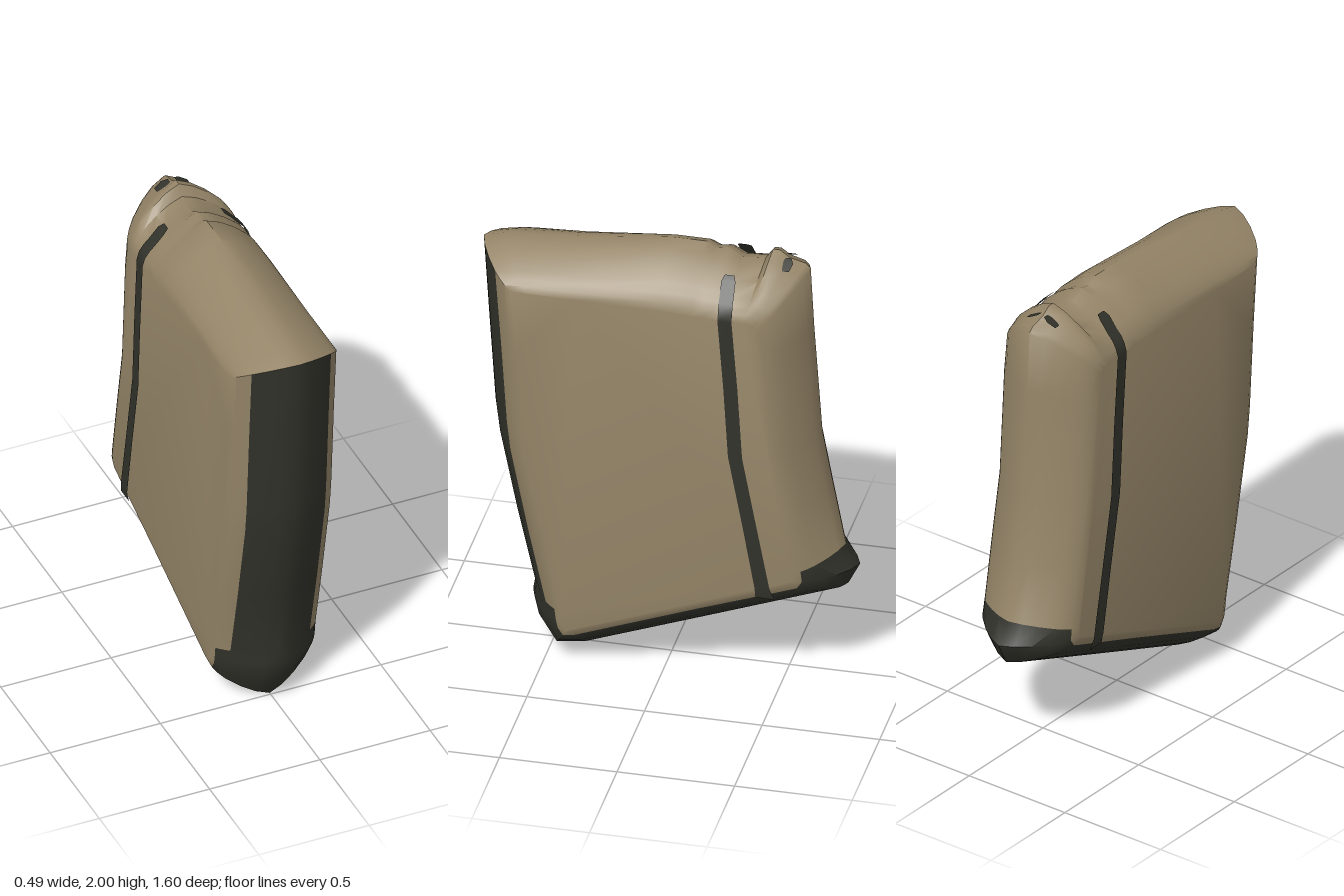
import * as THREE from 'three';
import { toCreasedNormals } from 'three/addons/utils/BufferGeometryUtils.js';

// Side profile, counter-clockwise seen from +x: outer z, outer y, inner z, inner y,
// and the trim of the edge that starts here (f = front strip, b = base, '' = body)
const PROFILE = [
  [0.80, 1.90, 0.63, 1.79, 'f'],
  [0.775, 1.50, 0.605, 1.50, 'f'],
  [0.75, 1.12, 0.58, 1.12, 'f'],
  [0.735, 1.00, 0.565, 0.98, 'f'],
  [0.66, 0.63, 0.49, 0.60, 'f'],
  [0.58, 0.28, 0.42, 0.27, 'b'],
  [0.59, 0.22, 0.41, 0.22, 'b'],
  [0.57, 0.13, 0.405, 0.195, 'b'],
  [0.49, 0.00, 0.395, 0.18, 'b'],
  [0.33, 0.02, 0.37, 0.185, 'b'],
  [-0.20, 0.22, -0.14, 0.38, 'b'],
  [-0.75, 0.43, -0.55, 0.53, 'b'],
  [-0.80, 0.53, -0.565, 0.55, 'b'],
  [-0.74, 0.62, -0.57, 0.59, ''],
  [-0.69, 0.88, -0.52, 0.88, ''],
  [-0.64, 1.15, -0.47, 1.15, ''],
  [-0.605, 1.65, -0.44, 1.62, ''],
  [-0.59, 1.93, -0.42, 1.74, ''],
  [-0.57, 1.95, -0.41, 1.755, ''],
  [-0.50, 1.97, -0.40, 1.765, ''],
  [-0.46, 2.00, -0.39, 1.77, ''],
  [-0.43, 2.00, -0.38, 1.77, ''],
  [-0.40, 1.955, -0.36, 1.77, ''],
  [-0.30, 1.945, -0.28, 1.77, ''],
  [-0.24, 1.985, -0.23, 1.775, ''],
  [-0.19, 1.975, -0.18, 1.775, ''],
  [-0.15, 2.00, -0.14, 1.78, ''],
  [0.00, 2.00, 0.00, 1.785, ''],
  [0.40, 1.95, 0.36, 1.785, ''],
  [0.70, 1.925, 0.56, 1.79, ''],
];

// Rounded cross-section: share of the inset, half width
const RINGS = [
  [0, 0], [0.11, 0.06], [0.29, 0.12], [0.53, 0.18],
  [0.68, 0.207], [0.83, 0.227], [1, 0.24],
];
const TRIM_RINGS = { f: 3, b: 5, '': 0 };

const lerp = THREE.MathUtils.lerp;

function bodyGeometry() {
  const sand = [], dark = [];
  const n = PROFILE.length;
  const at = (i, r) => {
    const [z, y, iz, iy] = PROFILE[i % n];
    const [t, w] = RINGS[r];
    return [w, lerp(y, iy, t), lerp(z, iz, t)];
  };
  // Adds a triangle and its mirror image
  const tri = (out, a, b, c) => {
    out.push(...a, ...b, ...c);
    for (const [x, y, z] of [a, c, b]) out.push(-x, y, z);
  };
  // Rounded rim
  for (let i = 0; i < n; i++) {
    for (let r = 0; r < RINGS.length - 1; r++) {
      const out = r < TRIM_RINGS[PROFILE[i][4]] ? dark : sand;
      const a = at(i, r), b = at(i + 1, r), c = at(i + 1, r + 1), d = at(i, r + 1);
      if (r > 0) tri(out, a, b, c);
      if (r > 0) tri(out, a, c, d);
      else tri(out, a, c, d), tri(out, a, b, c);
    }
  }
  // Flat sides
  const last = RINGS.length - 1;
  const contour = PROFILE.map((p) => new THREE.Vector2(-p[2], p[3]));
  for (const [a, b, c] of THREE.ShapeUtils.triangulateShape(contour, [])) {
    tri(sand, at(a, last), at(b, last), at(c, last));
  }
  const geo = new THREE.BufferGeometry();
  geo.setAttribute('position', new THREE.Float32BufferAttribute([...sand, ...dark], 3));
  geo.addGroup(0, sand.length / 3, 0);
  geo.addGroup(sand.length / 3, dark.length / 3, 1);
  return toCreasedNormals(geo, 0.75);
}

// Thin ribbon along z-wide rungs given as [x, y, z centre, half width]
function ribbonGeometry(rungs) {
  const pos = [], index = [];
  rungs.forEach(([x, y, z, h], i) => {
    pos.push(x, y, z + h, x, y, z - h);
    if (i) {
      const k = i * 2;
      index.push(k - 2, k, k - 1, k - 1, k, k + 1);
    }
  });
  const geo = new THREE.BufferGeometry();
  geo.setAttribute('position', new THREE.Float32BufferAttribute(pos, 3));
  geo.setIndex(index);
  geo.computeVertexNormals();
  return geo;
}

export function createModel() {
  const sand = new THREE.MeshStandardMaterial({ color: 0x948467 });
  sand.name = 'sand';
  const dark = new THREE.MeshStandardMaterial({ color: 0x31322a });
  dark.name = 'dark olive';
  const darkSheet = dark;
  darkSheet.side = THREE.DoubleSide;

  const group = new THREE.Group();
  const add = (name, geo, mat) => {
    const mesh = new THREE.Mesh(geo, mat);
    mesh.name = name;
    group.add(mesh);
    return mesh;
  };

  add('body', bodyGeometry(), [sand, dark]);

  // Side stripes, curling over the rounded top edge, and marks on the rear top
  for (const s of [1, -1]) {
    add(s > 0 ? 'leftStripe' : 'rightStripe', ribbonGeometry([
      [0.128, 1.928, -0.275, 0.02],
      [0.150, 1.91, -0.275, 0.03],
      [0.188, 1.865, -0.277, 0.03],
      [0.215, 1.837, -0.278, 0.03],
      [0.234, 1.808, -0.28, 0.03],
      [0.245, 1.77, -0.28, 0.03],
      [0.245, 1.45, -0.305, 0.03],
      [0.245, 1.12, -0.325, 0.03],
      [0.245, 0.80, -0.385, 0.03],
      [0.245, 0.50, -0.44, 0.032],
      [0.236, 0.45, -0.45, 0.04],
    ].map(([x, ...rest]) => [s * x, ...rest])), dark);

    add(s > 0 ? 'leftTopMark' : 'rightTopMark', ribbonGeometry([
      [s * 0.015, 1.975, -0.50, 0.012],
      [s * 0.04, 1.963, -0.50, 0.024],
      [s * 0.075, 1.944, -0.50, 0.014],
    ]), dark);
  }
  return group;
}
